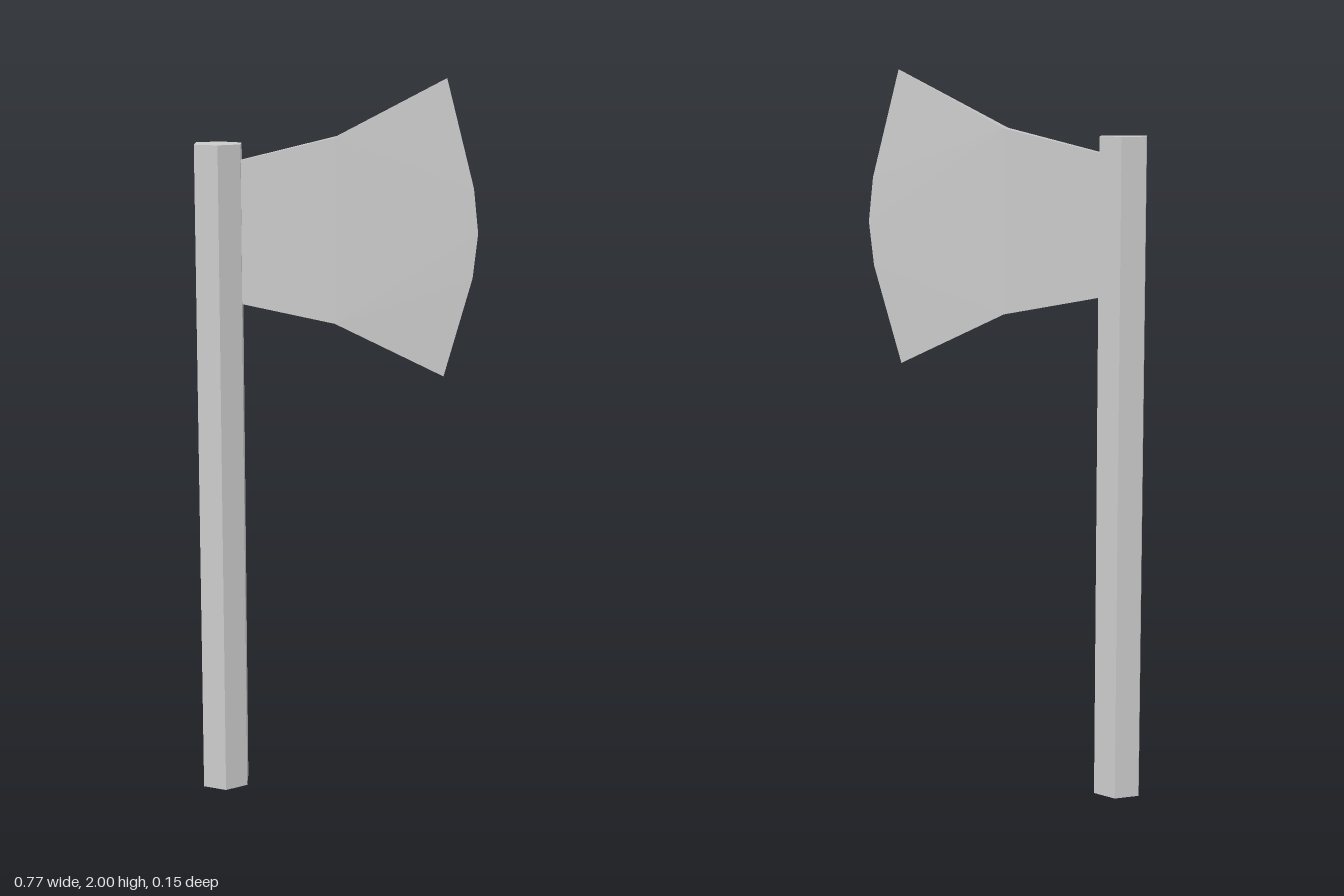
import * as THREE from 'three';

const material = new THREE.MeshStandardMaterial({ color: 0xcccccc, flatShading: true });

// Slightly uneven six-sided shaft, extruded upwards
function createHandle() {
  const section = [
    [-0.323, -0.075], [-0.26, -0.043], [-0.253, 0.03],
    [-0.308, 0.073], [-0.375, 0.052], [-0.385, -0.042],
  ];
  const shape = new THREE.Shape(section.map(([x, z]) => new THREE.Vector2(x, -z)));
  const geometry = new THREE.ExtrudeGeometry(shape, { depth: 1.825, bevelEnabled: false });
  geometry.rotateX(-Math.PI / 2);
  const handle = new THREE.Mesh(geometry, material);
  handle.name = 'handle';
  return handle;
}

// Wedge-shaped head: one outline with a half thickness per corner, mirrored in z
function createBlade() {
  const outline = [
    [-0.262, 1.395, 0.02], [0, 1.345, 0.031], [0.295, 1.2, 0.003],
    [0.37, 1.47, 0.003], [0.383, 1.59, 0.003], [0.37, 1.71, 0.003],
    [0.295, 2, 0.003], [0, 1.845, 0.031], [-0.262, 1.78, 0.02],
  ];
  const cheek = [
    [0, 1, 7], [0, 7, 8], [1, 2, 3], [1, 3, 4], [1, 4, 7], [7, 4, 5], [7, 5, 6],
  ];
  const n = outline.length;
  const positions = [1, -1].flatMap((side) => outline.flatMap(([x, y, z]) => [x, y, side * z]));
  const index = [];

  // Front and back cheeks
  for (const [a, b, c] of cheek) index.push(a, b, c, a + n, c + n, b + n);

  // Rim joining the two cheeks
  for (let i = 0; i < n; i++) {
    const j = (i + 1) % n;
    index.push(i, i + n, j + n, i, j + n, j);
  }

  const indexed = new THREE.BufferGeometry();
  indexed.setAttribute('position', new THREE.Float32BufferAttribute(positions, 3));
  indexed.setIndex(index);
  const geometry = indexed.toNonIndexed();
  geometry.computeVertexNormals();
  const blade = new THREE.Mesh(geometry, material);
  blade.name = 'blade';
  return blade;
}

export function createModel() {
  const axe = new THREE.Group();
  axe.name = 'axe';
  axe.add(createHandle(), createBlade());
  return axe;
}
